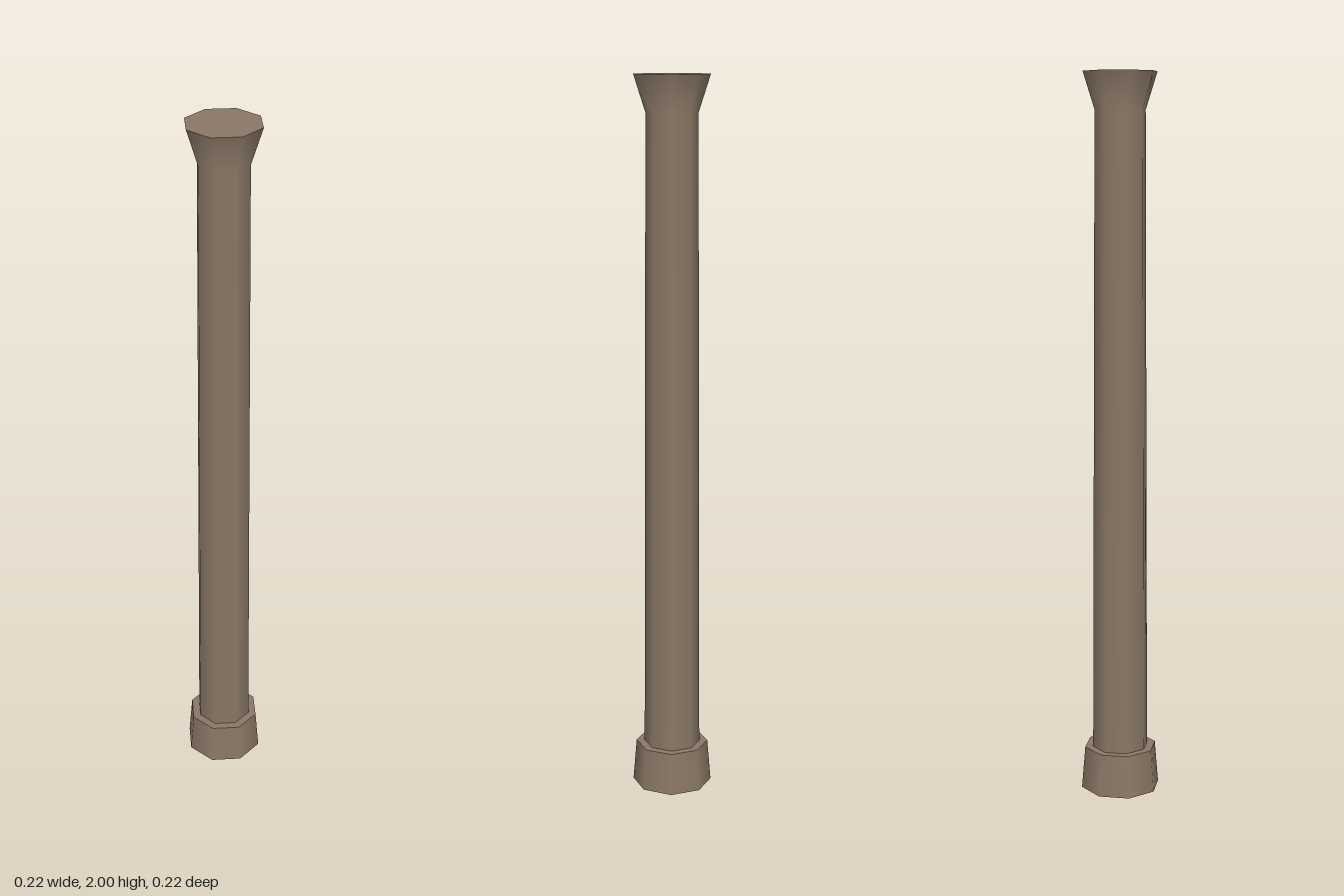
import * as THREE from 'three';

const SIDES = 8;

export function createModel() {
  const column = new THREE.Group();
  column.name = 'column';
  const stone = new THREE.MeshStandardMaterial({ color: 0x8a7866 });
  stone.name = 'brownStone';

  // Octagonal surface of revolution; each profile is smooth within itself
  const turn = (name, profile) => {
    const points = profile.map(([r, y]) => new THREE.Vector2(r, y));
    const mesh = new THREE.Mesh(new THREE.LatheGeometry(points, SIDES), stone);
    mesh.name = name;
    column.add(mesh);
  };

  // Tapered plinth with sharp rims
  turn('plinthUnderside', [[0, 0], [0.112, 0]]);
  turn('plinthSide', [[0.112, 0], [0.102, 0.12]]);
  turn('plinthLedge', [[0.102, 0.12], [0, 0.12]]);

  // Slightly tapered shaft flowing into the flared capital
  turn('shaftAndCapital', [[0.079, 0.12], [0.07, 1.9], [0.102, 2]]);
  turn('capitalTop', [[0.102, 2], [0, 2]]);

  return column;
}
